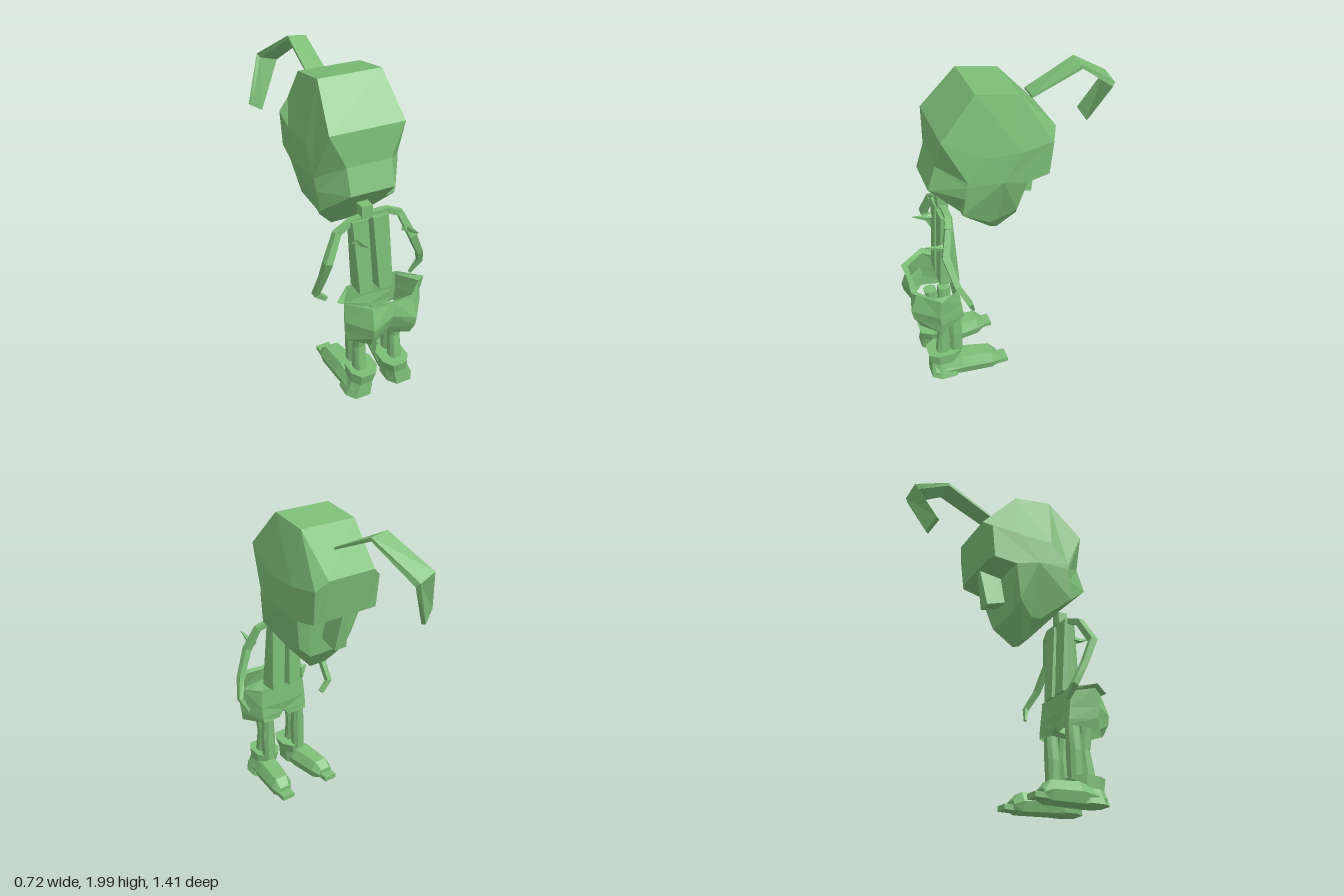
import * as THREE from 'three';

const green = new THREE.MeshStandardMaterial({ color: 0x7cbc76, flatShading: true, side: THREE.DoubleSide });

// Skin between rings of equal point count, with optional end caps
function loft(name, rings, { caps = true, open = false } = {}) {
  const pos = [], n = rings[0].length;
  const tri = (a, b, c) => pos.push(...a, ...b, ...c);
  for (let r = 0; r < rings.length - 1; r++) {
    for (let i = 0; i < (open ? n - 1 : n); i++) {
      const j = (i + 1) % n, p = rings[r], q = rings[r + 1];
      tri(p[i], p[j], q[j]);
      tri(p[i], q[j], q[i]);
    }
  }
  if (caps) {
    for (let i = 1; i < n - 1; i++) {
      const a = rings[0], b = rings[rings.length - 1];
      tri(a[0], a[i + 1], a[i]);
      tri(b[0], b[i], b[i + 1]);
    }
  }
  const g = new THREE.BufferGeometry();
  g.setAttribute('position', new THREE.Float32BufferAttribute(pos, 3));
  g.computeVertexNormals();
  const mesh = new THREE.Mesh(g, green);
  mesh.name = name;
  return mesh;
}

// Four-sided limb following a jointed path of [x, y, z, radius]
function limb(name, path) {
  const pts = path.map(p => new THREE.Vector3(p[0], p[1], p[2]));
  const rings = pts.map((p, i) => {
    const t = pts[Math.min(i + 1, pts.length - 1)].clone().sub(pts[Math.max(i - 1, 0)]).normalize();
    const u = new THREE.Vector3(0, 0, 1).addScaledVector(t, -t.z).normalize();
    const v = new THREE.Vector3().crossVectors(t, u), r = path[i][3];
    return [[1, 1], [-1, 1], [-1, -1], [1, -1]].map(([a, b]) =>
      p.clone().addScaledVector(u, a * r).addScaledVector(v, b * r).toArray());
  });
  return loft(name, rings);
}

// Upright octagonal column from levels of [y, cx, cz, halfX, halfZ]; flat is the share of the width left unbevelled
function column(name, levels, flat = .55) {
  const oct = [[-1, .45], [-flat, 1], [flat, 1], [1, .45], [1, -.45], [flat, -1], [-flat, -1], [-1, -.45]];
  return loft(name, levels.map(([y, cx, cz, hx, hz]) => oct.map(([a, b]) => [cx + a * hx, y, cz + b * hz])));
}

function box(name, w, h, d, x, y, z) {
  const m = new THREE.Mesh(new THREE.BoxGeometry(w, h, d), green);
  m.position.set(x, y, z);
  m.name = name;
  return m;
}

function makeHead() {
  const head = new THREE.Group();
  head.name = 'head';
  // Profile and cheek outlines as [z, y, half width]
  const profile = [[.25, 1.98, .19], [0, 1.94, .19], [-.225, 1.7, .165], [-.185, 1.44, .16], [-.03, 1.41, .16],
    [0, 1.13, .13], [.1, 1, .06], [.15, 1.02, .07], [.36, 1.25, .17], [.53, 1.41, .135], [.48, 1.56, .135], [.46, 1.75, .225]];
  const cheek = [[.22, 1.62, .255], [0, 1.62, .26], [-.19, 1.64, .235], [-.17, 1.43, .23], [-.03, 1.41, .245],
    [.02, 1.2, .2], [.12, 1.12, .15], [.18, 1.12, .16], [.36, 1.26, .235], [.345, 1.38, .25], [.335, 1.46, .26], [.33, 1.49, .26]];
  const ring = (outline, s) => outline.map(([z, y, w]) => [s * w, y, z]);
  const middle = s => cheek.map(() => [s * .262, 1.45, .12]);
  head.add(loft('skull', [middle(-1), ring(cheek, -1), ring(profile, -1), ring(profile, 1), ring(cheek, 1), middle(1)], { caps: false }));
  // Nose wedge hanging below the brow
  head.add(loft('nose', [
    [[-.02, 1.44, -.17], [.02, 1.44, -.17], [.03, 1.44, -.02], [-.03, 1.44, -.02]],
    [[-.045, 1.2, -.13], [.045, 1.2, -.13], [.05, 1.24, 0], [-.05, 1.24, 0]],
  ]));
  head.position.x = -.07;
  return head;
}

// Flat bent plume behind the head
function makePlume() {
  const edges = [
    [[-.14, 1.83, -.125], [-.02, 1.83, -.125], [0, .015, 0]],
    [[-.14, 1.975, -.42], [-.02, 1.96, -.43], [0, .022, 0]],
    [[-.23, 1.8, -.665], [-.115, 1.765, -.68], [-.015, .022, -.02]],
    [[-.345, 1.54, -.56], [-.265, 1.48, -.595], [-.012, .005, -.02]],
  ];
  const add = (p, q) => p.map((v, i) => v + q[i]);
  return loft('plume', edges.map(([l, r, t]) => [l, r, add(r, t), add(l, t)]));
}

// Half of the shorts on side s, open at the waist with a flared rim
function makeShortsHalf(s) {
  const side = ring => ring.map(([x, y, z]) => [s * x, y, z]);
  const rim = [[0, .745, .69], [.14, .75, .7], [.29, .735, .53], [.17, .73, .41], [0, .73, .4]];
  const belt = [[0, .735, .66], [.13, .74, .66], [.25, .72, .54], [.165, .71, .41], [0, .71, .4]];
  const hip = [[0, .64, .68], [.14, .6, .71], [.255, .6, .56], [.175, .6, .4], [0, .6, .39]];
  const crotch = [[0, .525, .64], [.14, .54, .7], [.25, .53, .55], [.175, .52, .39], [0, .53, .4]];
  const hem = [[.035, .46, .62], [.13, .46, .66], [.24, .46, .56], [.17, .49, .385], [.04, .48, .4]];
  const half = new THREE.Group();
  half.name = 'shortsHalf';
  half.add(loft('shortsHip', [rim, belt, hip, crotch].map(side), { caps: false, open: true }));
  half.add(loft('shortsLeg', [crotch, hem].map(side), { caps: false }));
  return half;
}

function makeLeg(s) {
  const leg = new THREE.Group();
  leg.name = s > 0 ? 'leftLeg' : 'rightLeg';
  // Rear and front leg columns
  leg.add(column('calf', [[.5, s * .125, .53, .04, .04], [.35, s * .12, .51, .035, .035], [.16, s * .125, .53, .04, .045]]));
  leg.add(column('shin', [[.5, s * .125, .435, .035, .04], [.34, s * .125, .44, .045, .042], [.16, s * .125, .44, .04, .04]]));
  // Boot: flared ankle, tapering foot and toe plate
  leg.add(column('ankle', [[.185, s * .11, .52, .088, .11], [.11, s * .12, .52, .075, .095], [.015, s * .145, .52, .09, .105]]));
  const foot = [[.6, .14, .07, .02, .09, .6], [.42, .145, .09, .01, .14, .6], [.22, .168, .078, .005, .125, .55], [.17, .175, .055, .02, .075, .6]];
  leg.add(loft('foot', foot.map(([z, cx, w, y0, y1, k]) => [
    [cx - w * k, y1, z], [cx + w * k, y1, z], [cx + w, (y0 + y1) / 2, z],
    [cx + w * .8, y0, z], [cx - w * .8, y0, z], [cx - w, (y0 + y1) / 2, z],
  ].map(([x, y, d]) => [s * x, y, d]))));
  leg.add(box('toe', .09, .032, .14, s * .18, .031, .18));
  leg.position.x = -.012;
  return leg;
}

export function createModel() {
  const model = new THREE.Group();
  model.name = 'figure';
  model.add(makeHead(), makePlume());

  // Neck, shoulders and the two torso columns
  model.add(box('neck', .07, .08, .065, -.065, 1.24, .427));
  model.add(limb('shoulders', [[-.26, 1.145, .45, .018], [-.17, 1.185, .435, .018], [-.06, 1.205, .43, .018], [.08, 1.205, .43, .018], [.16, 1.175, .45, .018]]));
  model.add(column('torsoRight', [[1.2, -.113, .435, .054, .035], [.72, -.083, .445, .047, .062]], .92));
  model.add(column('torsoLeft', [[1.2, .018, .435, .054, .035], [.72, .047, .445, .049, .062]], .92));
  // Thin spikes behind the shoulders
  for (const x of [-.14, .18])
    model.add(limb('spike', [[x, 1.07, .46, .018], [x + .01, 1.085, .52, .012], [x + .01, 1.11, .6, .002]]));

  // Arms
  model.add(limb('rightArm', [[-.25, 1.15, .45, .02], [-.325, 1, .49, .023], [-.33, .84, .42, .019], [-.335, .68, .335, .018], [-.265, .615, .325, .014]]));
  model.add(limb('leftArm', [[.15, 1.18, .45, .018], [.215, 1.03, .49, .022], [.3, .86, .45, .018], [.345, .745, .39, .016], [.3, .65, .36, .008]]));

  // Shorts and legs
  for (const s of [1, -1]) model.add(makeShortsHalf(s), makeLeg(s));
  return model;
}
